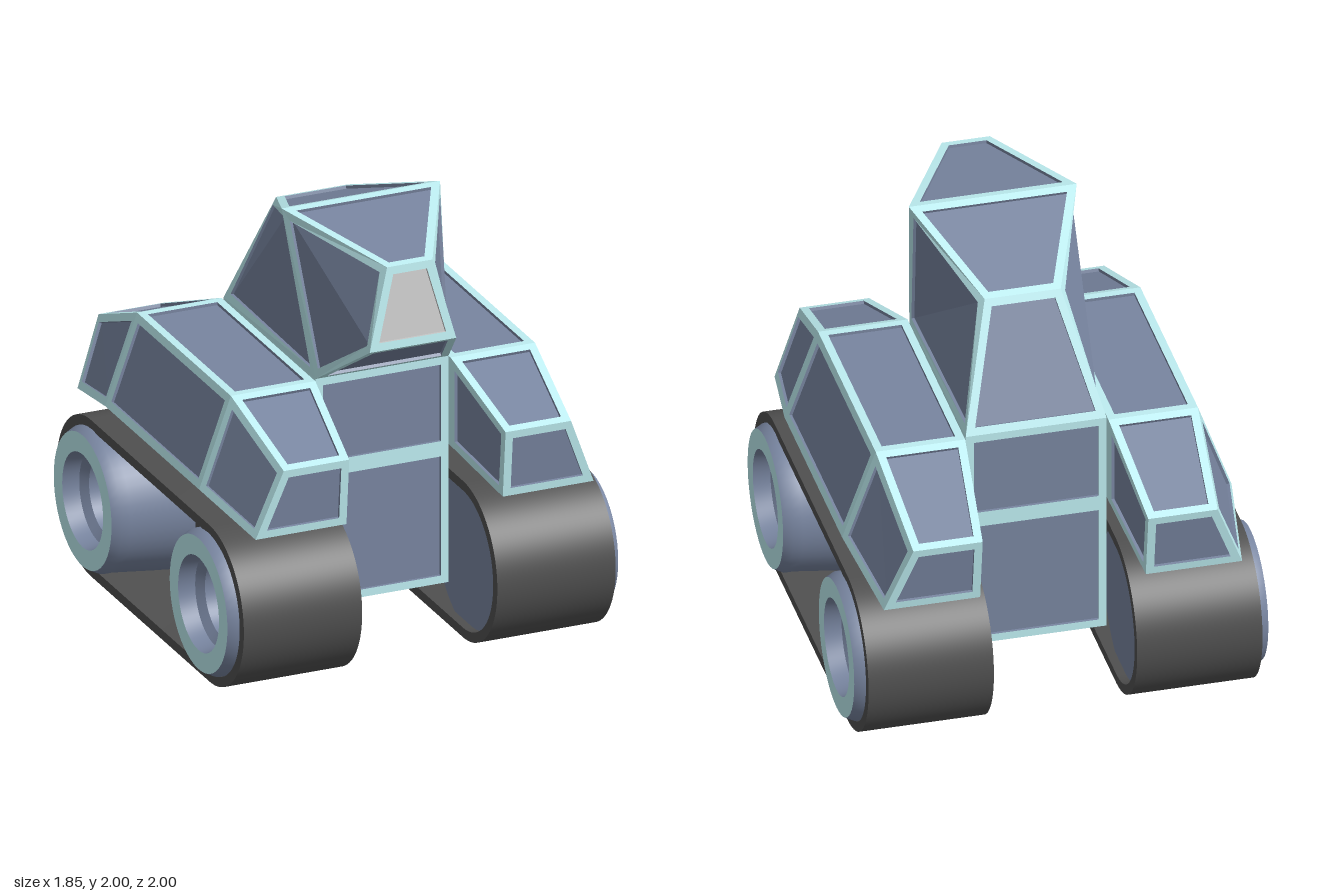
import * as THREE from 'three';
import { toCreasedNormals } from 'three/addons/utils/BufferGeometryUtils.js';

const mat = (color, flatShading = false) => new THREE.MeshStandardMaterial({ color, flatShading });
const FRAME = mat(0xbeeef2, true), PANEL = mat(0x7885a0, true), GREY = mat(0xcccccc, true);
const STEEL = mat(0x7885a0), RING = mat(0xbeeef2), RUBBER = mat(0x505050);
const V = (x, y, z) => new THREE.Vector3(x, y, z);

function named(mesh, name) {
  mesh.name = name;
  return mesh;
}

function flatMesh(points, material, name) {
  const g = new THREE.BufferGeometry().setFromPoints(points);
  g.computeVertexNormals();
  return named(new THREE.Mesh(g, material), name);
}

// A hull whose every face is a raised frame around a recessed panel
function panelled(name, faces, greyFace = -1, width = 0.036, depth = 0.014) {
  const group = named(new THREE.Group(), name);
  const frame = [], panel = [], grey = [];
  const center = new THREE.Box3().setFromPoints(faces.flat()).getCenter(V(0, 0, 0));
  const quad = (out, a, b, c, d) => out.push(a, b, c, a, c, d);
  faces.forEach((face, f) => {
    const n = V(0, 0, 0).crossVectors(face[2].clone().sub(face[0]), face[3].clone().sub(face[1])).normalize();
    const mid = face.reduce((s, p) => s.add(p), V(0, 0, 0)).divideScalar(4);
    let p = face;
    if (n.dot(mid.sub(center)) < 0) {
      p = [...face].reverse();
      n.negate();
    }
    const inner = p.map((v, i) => {
      const a = p[(i + 3) % 4].clone().sub(v).normalize();
      const b = p[(i + 1) % 4].clone().sub(v).normalize();
      const sin = V(0, 0, 0).crossVectors(a, b).length();
      return a.add(b).multiplyScalar(width / sin).add(v);
    });
    const deep = inner.map((v) => v.clone().addScaledVector(n, -depth));
    const fill = f === greyFace ? grey : panel;
    for (let i = 0; i < 4; i++) {
      const j = (i + 1) % 4;
      quad(frame, p[i], p[j], inner[j], inner[i]);
      quad(fill, inner[i], inner[j], deep[j], deep[i]);
    }
    quad(fill, ...deep);
  });
  group.add(flatMesh(frame, FRAME, name + 'Frame'), flatMesh(panel, PANEL, name + 'Panels'));
  if (grey.length) group.add(flatMesh(grey, GREY, name + 'FacePlate'));
  return group;
}

// Faces of a loft through four-cornered sections, with both ends closed
function loft(sections) {
  const faces = [sections[0], sections[sections.length - 1]];
  for (let s = 0; s + 1 < sections.length; s++) {
    for (let i = 0; i < 4; i++) {
      const j = (i + 1) % 4;
      faces.push([sections[s][i], sections[s][j], sections[s + 1][j], sections[s + 1][i]]);
    }
  }
  return faces;
}

// Rounded track outline around the two wheel axles
const AXLE_Z = 0.632, AXLE_Y = 0.368;
function stadium(Type, r) {
  const s = new Type();
  s.absarc(AXLE_Z, AXLE_Y, r, -Math.PI / 2, Math.PI / 2, false);
  s.absarc(-AXLE_Z, AXLE_Y, r, Math.PI / 2, Math.PI * 1.5, false);
  s.closePath();
  return s;
}

function extrudeAlongX(shape, x0, x1) {
  const g = new THREE.ExtrudeGeometry(shape, { depth: x1 - x0, bevelEnabled: false, curveSegments: 32 });
  g.translate(0, 0, x0).rotateY(Math.PI / 2);
  return toCreasedNormals(g, 0.5);
}

function lathe(profile, material, name) {
  const g = new THREE.LatheGeometry(profile.map(([r, y]) => new THREE.Vector2(r, y)), 48);
  return named(new THREE.Mesh(toCreasedNormals(g, 0.5), material), name);
}

function makeWheel(side, z) {
  const wheel = named(new THREE.Group(), 'wheel');
  wheel.add(
    lathe([[0, 0.36], [0.36, 0.36], [0.36, 0.55], [0.328, 0.84], [0.328, 0.885], [0.308, 0.925]], STEEL, 'wheelBarrel'),
    lathe([[0.308, 0.925], [0.218, 0.925]], RING, 'wheelRing'),
    lathe([[0.218, 0.925], [0.205, 0.85], [0.168, 0.82], [0.168, 0.54]], STEEL, 'wheelHub'),
  );
  wheel.rotation.z = -side * Math.PI / 2;
  wheel.position.set(0, AXLE_Y, z);
  return wheel;
}

function makeTrack(side) {
  const track = named(new THREE.Group(), side > 0 ? 'leftTrack' : 'rightTrack');
  const span = (a, b) => (side > 0 ? [a, b] : [-b, -a]);
  const belt = stadium(THREE.Shape, 0.368);
  belt.holes.push(stadium(THREE.Path, 0.323));
  track.add(
    named(new THREE.Mesh(extrudeAlongX(belt, ...span(0.32, 0.88)), RUBBER), 'trackBelt'),
    named(new THREE.Mesh(extrudeAlongX(stadium(THREE.Shape, 0.33), ...span(0.45, 0.55)), RUBBER), 'trackWall'),
    makeWheel(side, 0.618),
    makeWheel(side, -0.618),
  );
  return track;
}

// Fender: inner top, outer top, outer bottom, inner bottom for each section
function makeFender(side) {
  const section = (inner, outerTop, outerBottom, yTop, yBottom, zTop, zBottom) => [
    V(side * inner, yTop, zTop), V(side * outerTop, yTop, zTop),
    V(side * outerBottom, yBottom, zBottom), V(side * inner, yBottom, zBottom),
  ];
  return panelled(side > 0 ? 'leftFender' : 'rightFender', loft([
    section(0.37, 0.68, 0.8, 1.055, 0.745, -1, -0.955),
    section(0.32, 0.72, 0.87, 1.265, 0.85, -0.5, -0.5),
    section(0.32, 0.72, 0.87, 1.265, 0.85, 0.5, 0.5),
    section(0.37, 0.68, 0.8, 1.09, 0.775, 0.975, 0.945),
  ]));
}

// Head: pairs of corners running around its side outline
function makeHead() {
  const rows = [
    [-0.315, 0.315, 1.27, 0.49], [-0.315, 0.315, 1.27, -0.49],
    [-0.17, 0.17, 1.81, -0.255], [-0.375, 0.375, 1.995, 0.265],
    [-0.14, 0.075, 1.91, 0.86], [-0.24, 0.17, 1.54, 0.9],
  ].map(([x0, x1, y, z]) => [V(x0, y, z), V(x1, y, z)]);
  const faces = rows.map((r, i) => {
    const next = rows[(i + 1) % rows.length];
    return [r[0], r[1], next[1], next[0]];
  });
  for (const s of [0, 1]) {
    faces.push([0, 1, 2, 3].map((i) => rows[i][s]), [0, 3, 4, 5].map((i) => rows[i][s]));
  }
  return panelled('head', faces, 4);
}

export function createModel() {
  const model = named(new THREE.Group(), 'trackedRobot');
  const bodySection = (y) => [V(-0.315, y, 0.49), V(0.315, y, 0.49), V(0.315, y, -0.49), V(-0.315, y, -0.49)];
  model.add(panelled('body', loft([0.205, 0.838, 1.27].map(bodySection))), makeHead());
  for (const side of [1, -1]) model.add(makeFender(side), makeTrack(side));
  return model;
}
